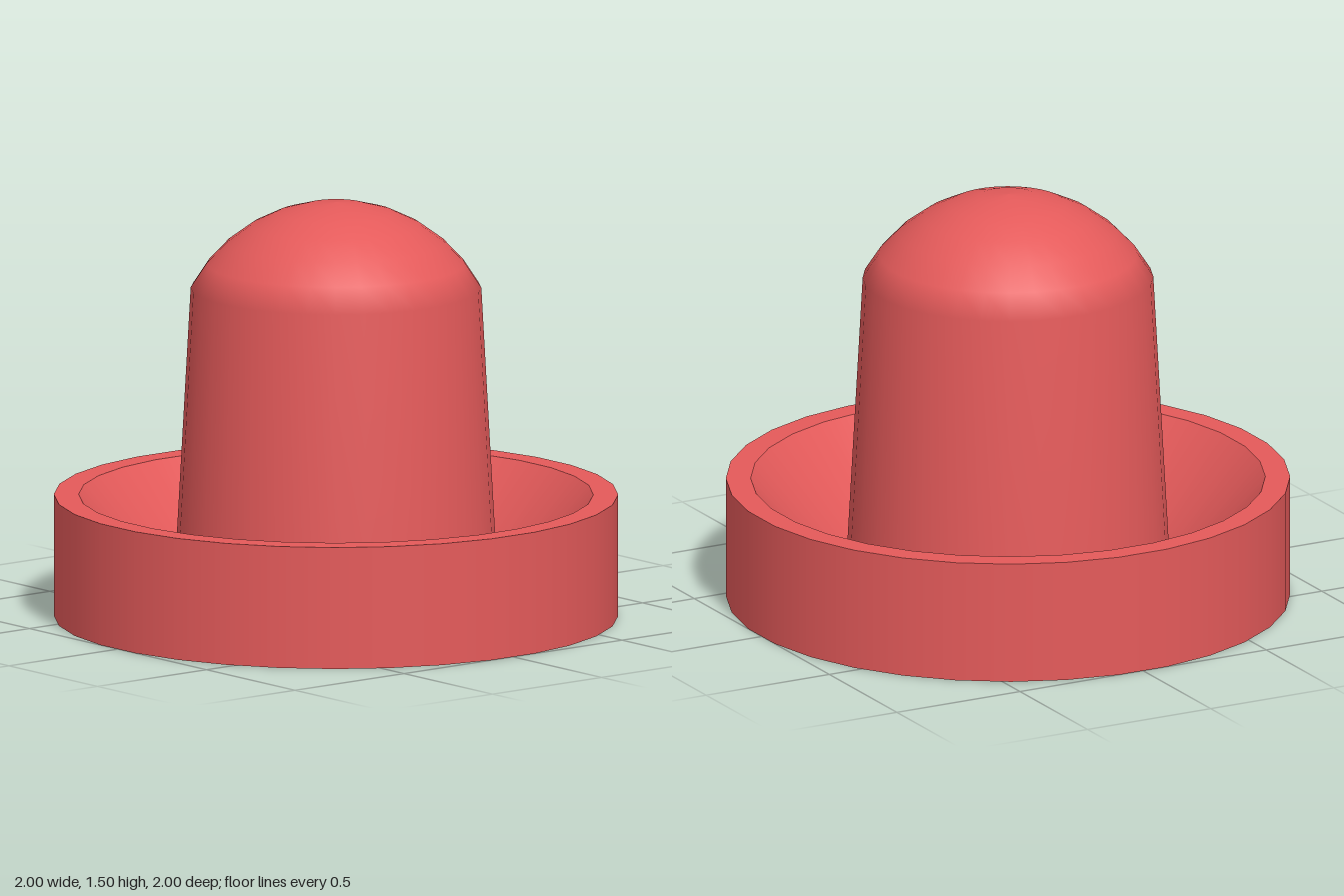
import * as THREE from 'three';
import { mergeGeometries } from 'three/addons/utils/BufferGeometryUtils.js';

const SIDES = 32;
const HALF = Math.PI / SIDES;
const OUT = 1 / Math.cos(HALF); // corner radius that puts the flats at 1

// Smooth surface of revolution from [radius, height] pairs
function turn(points) {
  const profile = points.map(([r, y]) => new THREE.Vector2(r * OUT, y));
  return new THREE.LatheGeometry(profile, SIDES, HALF);
}

export function createModel() {
  const group = new THREE.Group();
  const red = new THREE.MeshStandardMaterial({ color: 0xe45a5a });
  const add = (name, geometry) => {
    const mesh = new THREE.Mesh(geometry, red);
    mesh.name = name;
    group.add(mesh);
  };

  // Dish: separate bands keep the rim edges sharp
  const outline = [[0, 0], [1, 0], [1, 0.44], [0.912, 0.44], [0.57, 0.05]];
  const bands = outline.slice(1).map((p, i) => turn([outline[i], p]));
  add('dish', mergeGeometries(bands));

  // Grip: tapered shaft running smoothly into a spherical cap
  const shoulderR = 0.515, shoulderY = 1.19, topY = 1.5;
  const rise = topY - shoulderY;
  const capR = (shoulderR ** 2 + rise ** 2) / (2 * rise);
  const capAngle = Math.asin(shoulderR / capR);
  const grip = [[0.578, 0.04]];
  const steps = 6;
  for (let i = 0; i <= steps; i++) {
    const a = capAngle * (1 - i / steps);
    grip.push([capR * Math.sin(a), topY - capR * (1 - Math.cos(a))]);
  }
  add('grip', turn(grip));

  return group;
}
